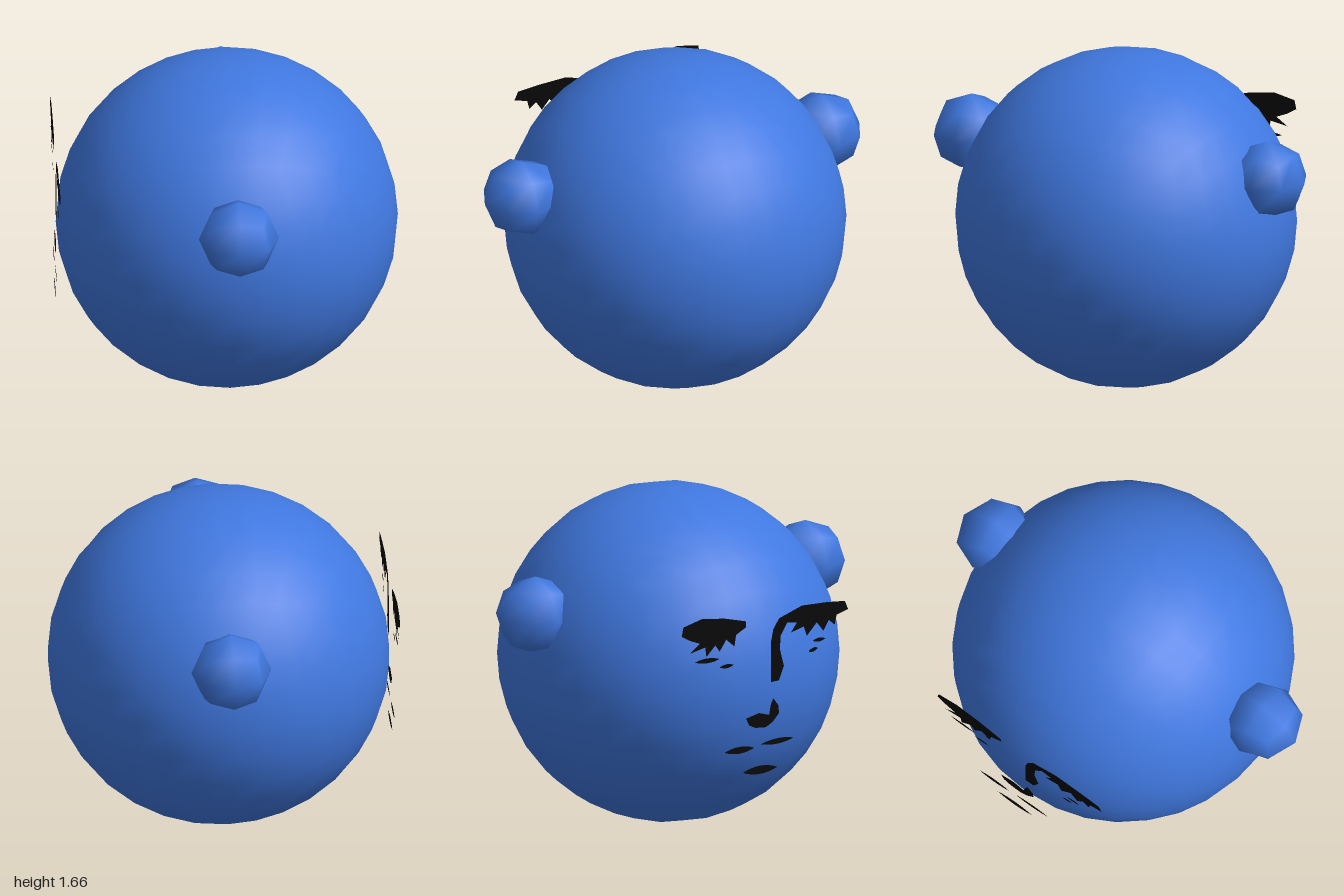
import * as THREE from 'three';

const blue = new THREE.MeshStandardMaterial({ color: 0x4078e0 });
const black = new THREE.MeshStandardMaterial({ color: 0x080808, side: THREE.DoubleSide });

// Ball made from a subdivided cube, with evenly spaced rows and smooth normals
function cubeBall(radius, divisions) {
  const geo = new THREE.BoxGeometry(2, 2, 2, divisions, divisions, divisions);
  const pos = geo.attributes.position;
  const v = new THREE.Vector3();
  const warp = (c) => Math.tan((c * Math.PI) / 4);
  for (let i = 0; i < pos.count; i++) {
    v.fromBufferAttribute(pos, i);
    v.set(warp(v.x), warp(v.y), warp(v.z)).normalize();
    geo.attributes.normal.setXYZ(i, v.x, v.y, v.z);
    pos.setXYZ(i, v.x * radius, v.y * radius, v.z * radius);
  }
  return geo;
}

// Flat ink patch from an outline of [across, height] points
function patch(points) {
  return new THREE.Shape(points.map(([x, y]) => new THREE.Vector2(x, y)));
}

// Flat ink stroke, pointed at both ends
function stroke(x1, y1, x2, y2, width) {
  const mx = (x1 + x2) / 2, my = (y1 + y2) / 2;
  const s = new THREE.Shape();
  s.moveTo(x1, y1);
  s.quadraticCurveTo(mx, my - width, x2, y2);
  s.quadraticCurveTo(mx, my + width, x1, y1);
  return s;
}

export function createModel() {
  const model = new THREE.Group();
  const add = (parent, name, geo, mat, x = 0, y = 0, z = 0) => {
    const mesh = new THREE.Mesh(geo, mat);
    mesh.name = name;
    mesh.position.set(x, y, z);
    parent.add(mesh);
  };

  // Head and the two knobs, front and back
  add(model, 'head', cubeBall(0.832, 8), blue, 0, 0.836, -0.025);
  add(model, 'frontKnob', cubeBall(0.195, 2), blue, 0.017, 1.155, 0.803);
  add(model, 'backKnob', cubeBall(0.195, 2), blue, 0.017, 1.155, -0.803);

  // Face drawn on a flat sheet that touches the side of the head
  const face = new THREE.Group();
  face.name = 'face';
  face.position.set(-0.833, 0, -0.025);
  face.rotation.y = -Math.PI / 2;
  model.add(face);

  const features = {
    eyeBack: [
      patch([[-0.51, 1.21], [-0.5, 1.255], [-0.39, 1.278], [-0.255, 1.257], [-0.127, 1.22],
        [-0.127, 1.19], [-0.186, 1.162], [-0.196, 1.104], [-0.245, 1.148], [-0.284, 1.094],
        [-0.31, 1.13], [-0.363, 1.081], [-0.37, 1.13], [-0.461, 1.115], [-0.402, 1.155],
        [-0.461, 1.18]]),
      stroke(-0.431, 1.064, -0.284, 1.057, 0.025),
      stroke(-0.284, 1.013, -0.2, 1.012, 0.02),
    ],
    eyeFront: [
      patch([[0.069, 1.2], [0.206, 1.241], [0.353, 1.232], [0.461, 1.219], [0.48, 1.175],
        [0.412, 1.157], [0.4, 1.11], [0.365, 1.14], [0.333, 1.09], [0.294, 1.14],
        [0.235, 1.082], [0.216, 1.133], [0.14, 1.115], [0.176, 1.16], [0.118, 1.17]]),
      stroke(0.27, 1.05, 0.345, 1.05, 0.02),
      stroke(0.245, 1.0, 0.3, 1.01, 0.02),
    ],
    noseBridge: [
      patch([[0.069, 1.2], [0.035, 1.15], [0.02, 1.083], [0.02, 0.885], [0.069, 0.885],
        [0.098, 0.955], [0.075, 1.04], [0.078, 1.11], [0.118, 1.17]]),
    ],
    nostril: [
      patch([[0.035, 0.8], [0.065, 0.76], [0.069, 0.718], [0.03, 0.68], [-0.01, 0.661],
        [-0.07, 0.668], [-0.108, 0.686], [-0.127, 0.725], [-0.05, 0.74], [0.01, 0.72], [0.02, 0.77]]),
    ],
    mouth: [
      stroke(-0.255, 0.574, -0.078, 0.569, 0.035),
      stroke(-0.039, 0.579, 0.157, 0.579, 0.028),
    ],
    lowerLip: [stroke(-0.147, 0.453, 0.059, 0.448, 0.042)],
  };
  for (const [name, shapes] of Object.entries(features)) {
    add(face, name, new THREE.ShapeGeometry(shapes, 8), black);
  }
  return model;
}
